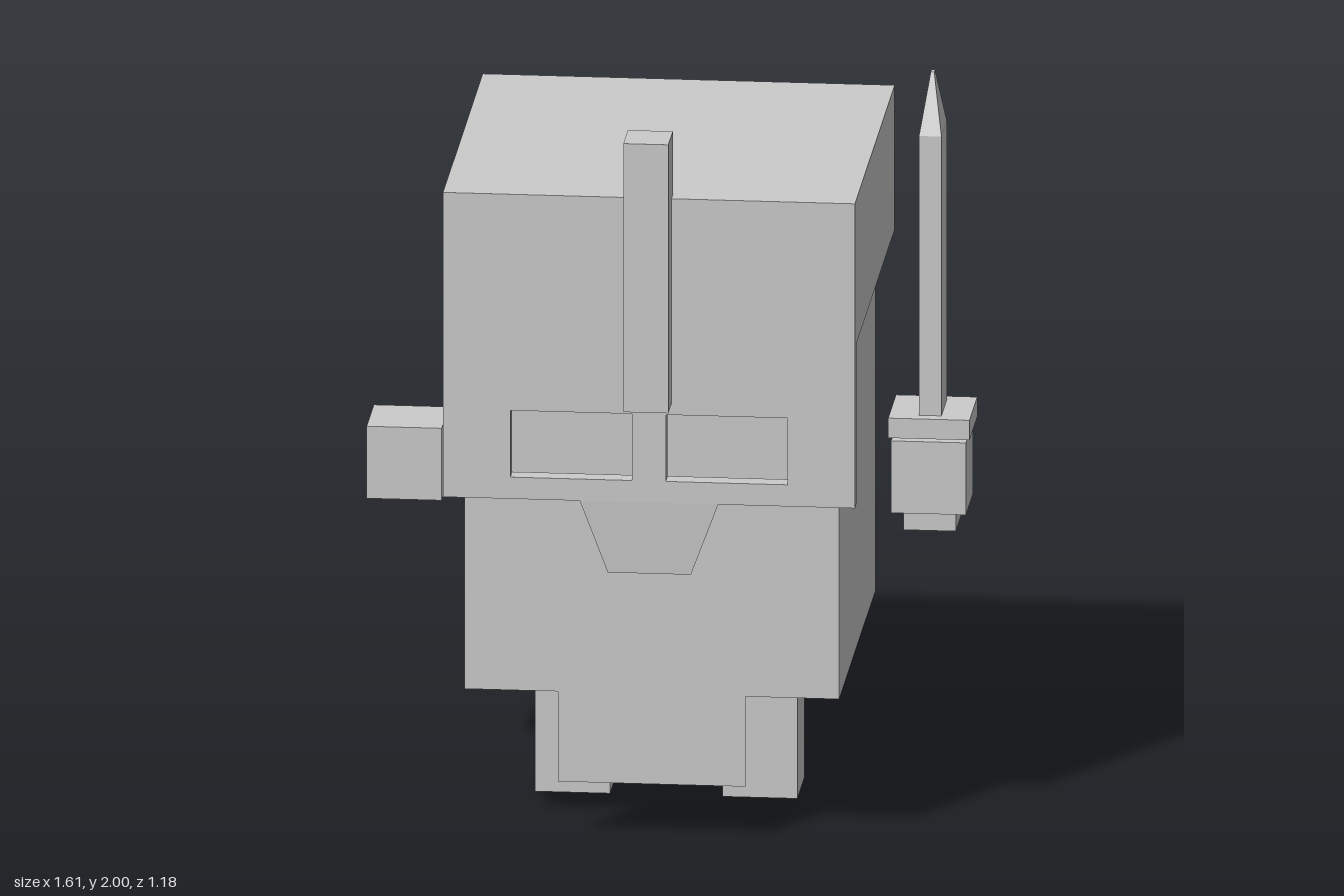
import * as THREE from 'three';

const material = new THREE.MeshStandardMaterial({ color: 0xcccccc, flatShading: true });
const doubleSided = new THREE.MeshStandardMaterial({ color: 0xcccccc, side: THREE.DoubleSide });

export function createModel() {
  const model = new THREE.Group();

  function add(parent, name, geometry, mat = material) {
    const mesh = new THREE.Mesh(geometry, mat);
    mesh.name = name;
    parent.add(mesh);
    return mesh;
  }

  // Box given by its limits on each axis
  function box(parent, name, [x0, x1], [y0, y1], [z0, z1]) {
    const g = new THREE.BoxGeometry(x1 - x0, y1 - y0, z1 - z0);
    g.translate((x0 + x1) / 2, (y0 + y1) / 2, (z0 + z1) / 2);
    return add(parent, name, g);
  }

  // Box whose top or bottom end (end = 1 or -1) shrinks by sx and sz
  function taperedBox(parent, name, xr, yr, zr, end, sx, sz) {
    const mesh = box(parent, name, xr, yr, zr);
    const p = mesh.geometry.attributes.position;
    const cx = (xr[0] + xr[1]) / 2, cy = (yr[0] + yr[1]) / 2, cz = (zr[0] + zr[1]) / 2;
    for (let i = 0; i < p.count; i++) {
      if ((p.getY(i) - cy) * end > 0) {
        p.setX(i, cx + (p.getX(i) - cx) * sx);
        p.setZ(i, cz + (p.getZ(i) - cz) * sz);
      }
    }
    mesh.geometry.computeVertexNormals();
    return mesh;
  }

  // Body, legs and hands
  box(model, 'body', [-0.51, 0.49], [0.4, 1.4], [-0.57, 0.43]);
  box(model, 'rightLeg', [-0.36, -0.16], [0, 0.4], [-0.17, 0.03]);
  box(model, 'leftLeg', [0.14, 0.34], [0, 0.4], [-0.17, 0.03]);
  box(model, 'rightHand', [-0.81, -0.61], [0.8, 1], [-0.17, 0.03]);
  box(model, 'leftHand', [0.59, 0.79], [0.8, 1], [-0.17, 0.03]);

  // Thin cloth hanging from the front of the body
  const cloth = new THREE.PlaneGeometry(0.5, 0.25);
  cloth.translate(-0.01, 0.275, 0.43);
  add(model, 'loincloth', cloth, doubleSided);

  // Helmet: cap, face plate with eye slots, chin guard and crest
  const helmet = new THREE.Group();
  helmet.name = 'helmet';
  model.add(helmet);
  box(helmet, 'cap', [-0.56, 0.54], [1.4, 1.8], [-0.59, 0.46]);

  function rectangle(target, x0, x1, y0, y1) {
    target.moveTo(x0, y0);
    target.lineTo(x1, y0);
    target.lineTo(x1, y1);
    target.lineTo(x0, y1);
    target.closePath();
    return target;
  }
  const plate = rectangle(new THREE.Shape(), -0.56, 0.54, 0.955, 1.8);
  for (const x of [-0.38, 0.035]) {
    plate.holes.push(rectangle(new THREE.Path(), x, x + 0.325, 1.015, 1.2));
  }
  const plateGeometry = new THREE.ExtrudeGeometry(plate, { depth: 0.05, bevelEnabled: false });
  plateGeometry.translate(0, 0, 0.46);
  add(helmet, 'facePlate', plateGeometry);

  taperedBox(helmet, 'chinGuard', [-0.195, 0.175], [0.755, 0.955], [0.46, 0.51], -1, 0.6, 0.6);
  box(helmet, 'crest', [-0.07, 0.05], [1.23, 1.975], [0.47, 0.595]);

  // Rounded brow bar between body and face plate
  const brow = new THREE.CylinderGeometry(0.045, 0.045, 1, 16);
  brow.rotateZ(Math.PI / 2);
  brow.translate(-0.01, 1.355, 0.44);
  add(helmet, 'browBar', brow, doubleSided);

  // Flat eyes set just in front of the body
  for (const x of [-0.205, 0.195]) {
    box(model, 'eye', [x - 0.065, x + 0.065], [1.02, 1.185], [0.42, 0.433]);
  }

  // Sword held in the left hand
  const sword = new THREE.Group();
  sword.name = 'sword';
  model.add(sword);
  box(sword, 'pommel', [0.62, 0.76], [0.745, 0.81], [-0.14, 0]);
  box(sword, 'grip', [0.64, 0.745], [0.79, 1.02], [-0.125, -0.015]);
  box(sword, 'guard', [0.583, 0.8], [1.01, 1.065], [-0.18, 0.037]);
  box(sword, 'blade', [0.662, 0.722], [1.06, 1.84], [-0.145, 0.003]);
  taperedBox(sword, 'bladeTip', [0.662, 0.722], [1.84, 2], [-0.145, 0.003], 1, 0.15, 0.15);

  return model;
}
